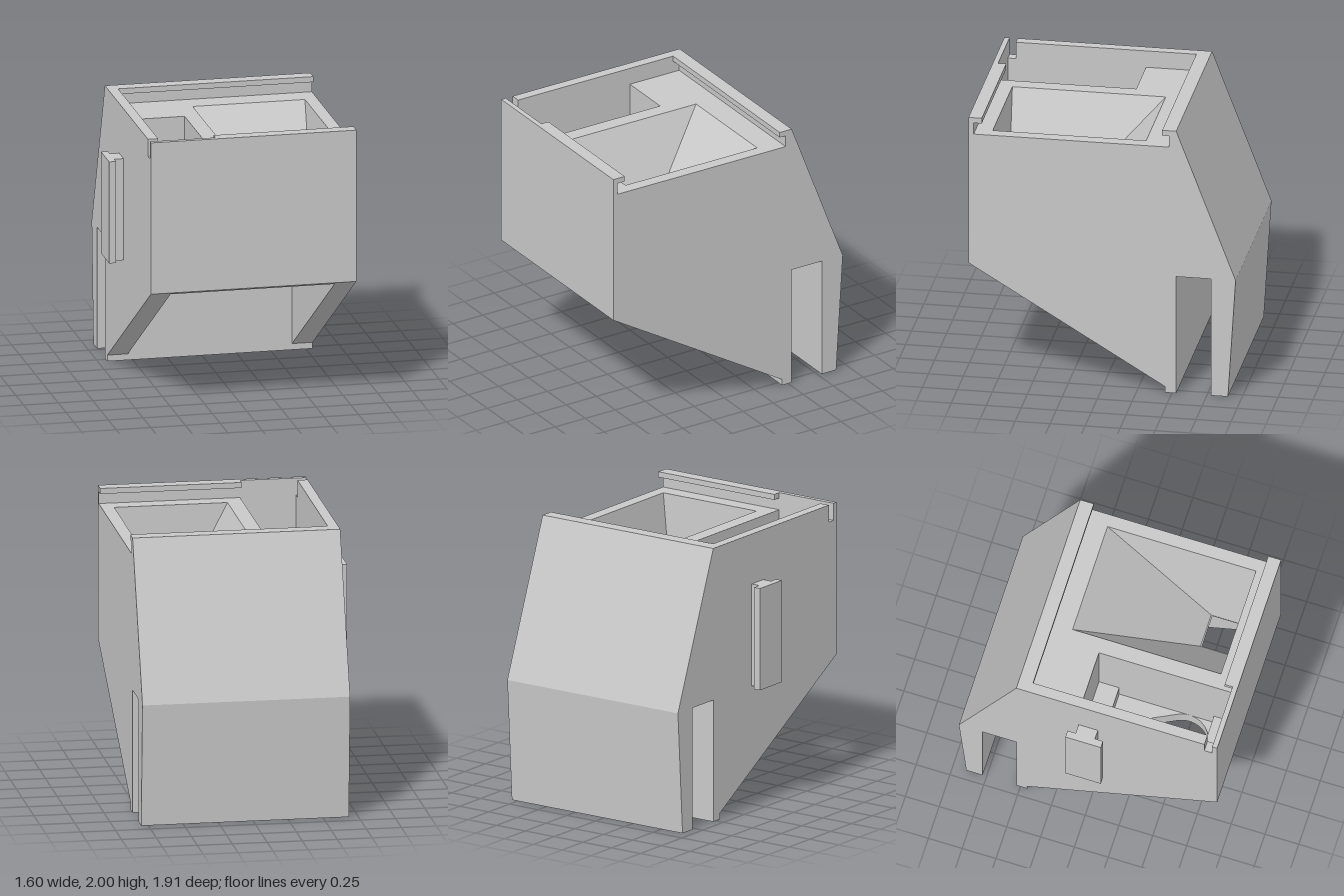
import * as THREE from 'three';

export function createModel() {
  const model = new THREE.Group();
  const grey = new THREE.MeshStandardMaterial({ color: 0xc8c8c8 });
  grey.name = 'plain grey';

  const add = (name, geometry) => {
    const mesh = new THREE.Mesh(geometry, grey);
    mesh.name = name;
    model.add(mesh);
    return mesh;
  };

  // Box given by its limits on each axis
  const box = (name, x0, x1, y0, y1, z0, z1) => {
    const g = new THREE.BoxGeometry(x1 - x0, y1 - y0, z1 - z0);
    g.translate((x0 + x1) / 2, (y0 + y1) / 2, (z0 + z1) / 2);
    return add(name, g);
  };

  // Side profile of [z, y] points, swept from x0 to x1
  const sideProfile = (name, points, x0, x1) => {
    const shape = new THREE.Shape(points.map(([z, y]) => new THREE.Vector2(-z, y)));
    const g = new THREE.ExtrudeGeometry(shape, { depth: x1 - x0, bevelEnabled: false });
    g.rotateY(Math.PI / 2);
    g.translate(x0, 0, 0);
    return add(name, g);
  };

  const right = -0.683, left = 0.8, front = 0.955;
  const base = 0.89, ceiling = 1.02, floor = 1.15, ledge = 1.28, rim = 1.875;

  // Plan outlines, drawn in (x, -z)
  const rect = (x0, x1, z0, z1) => new THREE.Shape(
    [[x0, z0], [x0, z1], [x1, z1], [x1, z0]].map(([x, z]) => new THREE.Vector2(x, -z)));
  const circle = (x, z, r) => new THREE.Path().absarc(x, -z, r, 0, Math.PI * 2);

  // Horizontal layer of the core with holes, from y0 to y1
  const layer = (name, y0, y1, holes) => {
    const shape = rect(right, left, -0.45, front);
    shape.holes.push(...holes);
    const g = new THREE.ExtrudeGeometry(shape, { depth: y1 - y0, bevelEnabled: false, curveSegments: 24 });
    g.rotateX(-Math.PI / 2);
    g.translate(0, y0, 0);
    return add(name, g);
  };

  // Back wall with sloping rear, mounting slot, and grooved lip for the lid
  sideProfile('backWall', [
    [-0.53, 0], [-0.45, 0], [-0.45, rim], [-0.48, rim], [-0.48, 1.96], [-0.43, 1.96], [-0.43, 2],
    [-0.53, 2], [-0.955, 0.89], [-0.9, 0], [-0.78, 0], [-0.78, 0.89], [-0.53, 0.89],
  ], right, left);

  // Sloping cheeks and thin front skirt around the open cavity underneath
  const slope = (front - 0.925) * 0.6;
  for (const [name, x0, x1] of [['rightCheek', right, -0.535], ['leftCheek', 0.65, left]]) {
    sideProfile(name, [[-0.45, ceiling], [-0.45, 0.045], [front, base], [front, ceiling]], x0, x1);
  }
  sideProfile('frontSkirt',
    [[0.925, ceiling], [0.925, base - slope], [front, base], [front, ceiling]], -0.535, 0.65);

  // Core layers: the hopper opening and the stepped motor pocket
  const hopper = rect(-0.1, 0.71, -0.3, 0.797);
  const outlet = rect(0.352, 0.592, 0.513, 0.75);
  const rad = THREE.MathUtils.degToRad;
  const shaftHole = new THREE.Path();
  shaftHole.absarc(-0.4, -0.6, 0.19, rad(150), rad(390));
  shaftHole.absarc(-0.4, -0.45, 0.13, rad(46), rad(134));
  shaftHole.closePath();

  layer('bottomPlate', ceiling, ceiling + 0.01, [outlet, shaftHole]);
  layer('pocketFloor', ceiling + 0.01, floor, [hopper, shaftHole]);
  layer('pocketLedges', floor, ledge,
    [hopper, rect(-0.61, -0.21, 0.08, 0.78), circle(-0.4, 0.02, 0.03), circle(-0.4, 0.87, 0.03)]);
  layer('upperBody', ledge, rim, [hopper, rect(-0.61, -0.21, -0.07, 0.918)]);

  // Funnel walls from the hopper opening down to the outlet
  const ring = (x0, x1, z0, z1, y) => [[x0, y, z0], [x1, y, z0], [x1, y, z1], [x0, y, z1]];
  const top = ring(-0.1, 0.71, -0.3, 0.797, rim);
  const low = ring(0.352, 0.592, 0.513, 0.75, ceiling);
  const corners = [];
  for (let i = 0; i < 4; i++) {
    const j = (i + 1) % 4;
    corners.push(...top[i], ...low[i], ...low[j], ...top[i], ...low[j], ...top[j]);
  }
  const funnel = new THREE.BufferGeometry();
  funnel.setAttribute('position', new THREE.Float32BufferAttribute(corners, 3));
  funnel.computeVertexNormals();
  add('funnel', funnel);

  // Lid track: end stop, front rim and overhanging lip that ends at the pocket
  box('lidStop', right, -0.61, rim, 2, -0.48, 0.86);
  box('frontRim', right, left, rim, 2, 0.918, front);
  box('frontLip', -0.21, left, 1.96, 2, 0.86, 0.918);

  // T-shaped rail on the side
  box('railStem', -0.75, right, 0.89, 1.635, -0.07, 0.073);
  box('railFlange', -0.8, -0.75, 0.89, 1.635, -0.13, 0.132);

  return model;
}
